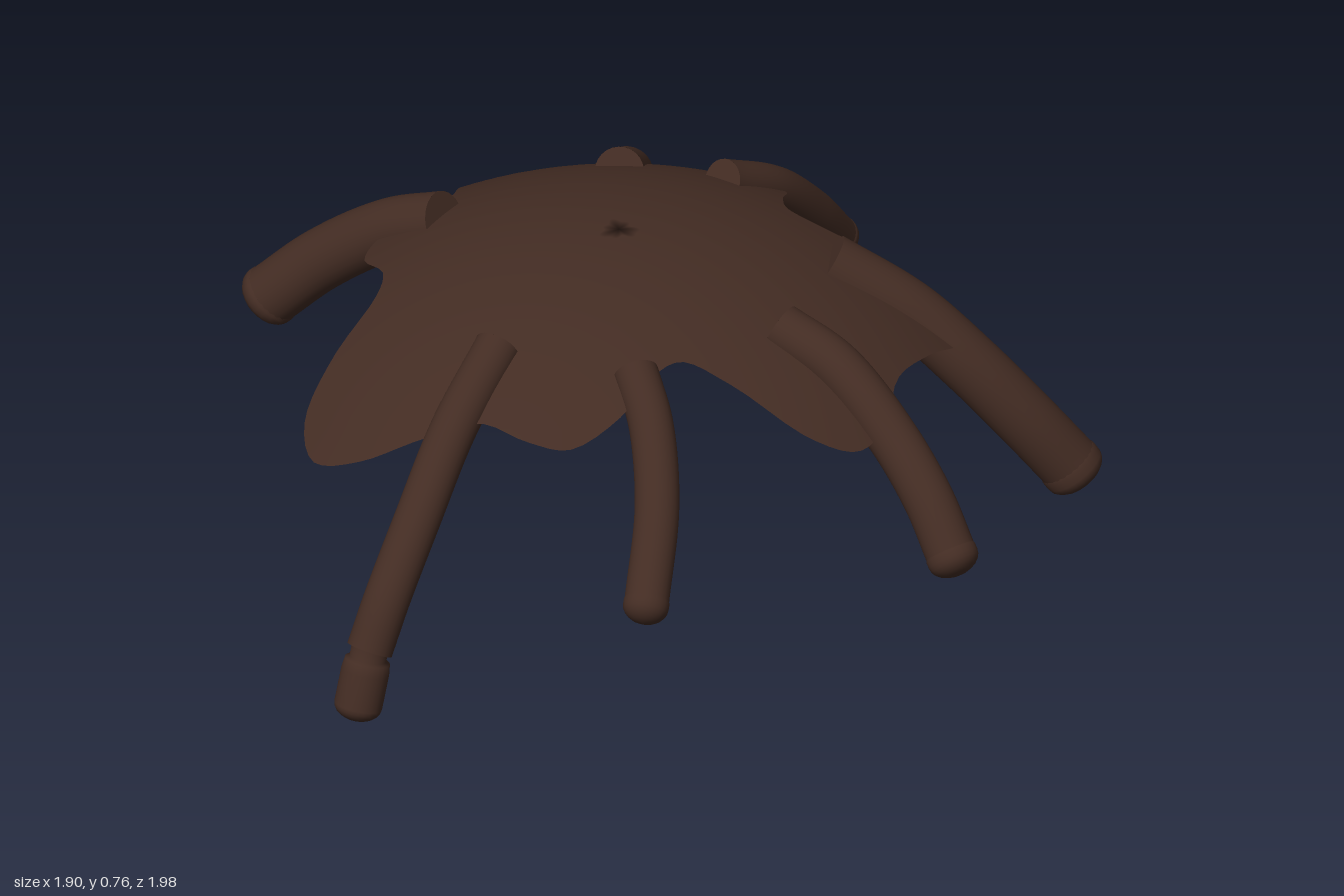
import * as THREE from 'three';

const material = new THREE.MeshStandardMaterial({ color: 0x432c23, side: THREE.DoubleSide });
const V = (p) => new THREE.Vector3(...p);

// Dome centre, apex height and sphere radius
const CX = -0.06, CZ = -0.08, TOP = 0.765, R = 1.18;
const domeY = (x, z) => TOP - R + Math.sqrt(R * R - (x - CX) ** 2 - (z - CZ) ** 2);

// Splat outline seen from above, as x, z pairs
const outline = [
  [-0.20, 0.73], [-0.30, 0.66], [-0.35, 0.53], [-0.385, 0.36], [-0.44, 0.28], [-0.55, 0.23],
  [-0.60, 0.14], [-0.60, 0.02], [-0.59, -0.07], [-0.67, -0.18], [-0.78, -0.32], [-0.81, -0.43],
  [-0.74, -0.52], [-0.60, -0.55], [-0.43, -0.57], [-0.33, -0.65], [-0.22, -0.70], [-0.12, -0.66],
  [-0.05, -0.58], [0.02, -0.53], [0.11, -0.55], [0.25, -0.635], [0.38, -0.665], [0.48, -0.62],
  [0.53, -0.47], [0.58, -0.32], [0.67, -0.19], [0.69, -0.08], [0.62, 0.01], [0.45, 0.08],
  [0.35, 0.13], [0.34, 0.22], [0.36, 0.32], [0.33, 0.45], [0.24, 0.50], [0.12, 0.53],
  [0.02, 0.62], [-0.08, 0.70],
];

// Thin domed splat: shrunken copies of the outline laid on the sphere
function createSplat() {
  const around = 160, rings = 16;
  const edge = new THREE.CatmullRomCurve3(outline.map(([x, z]) => V([x, 0, z])), true).getPoints(around);
  const positions = [], index = [];
  for (let i = 0; i <= rings; i++) {
    for (let j = 0; j < around; j++) {
      const x = CX + (edge[j].x - CX) * i / rings;
      const z = CZ + (edge[j].z - CZ) * i / rings;
      positions.push(x, domeY(x, z), z);
      if (i === rings) continue;
      const k = (j + 1) % around;
      const a = i * around + j, b = i * around + k, c = a + around, d = b + around;
      if (i > 0) index.push(a, b, d);
      index.push(a, d, c);
    }
  }
  // Outline runs clockwise from above, so reverse each triangle to face up
  for (let i = 0; i < index.length; i += 3) [index[i + 1], index[i + 2]] = [index[i + 2], index[i + 1]];
  const geometry = new THREE.BufferGeometry();
  geometry.setAttribute('position', new THREE.Float32BufferAttribute(positions, 3));
  geometry.setIndex(index);
  geometry.computeVertexNormals();
  // Pole normals
  for (let j = 0; j < around; j++) geometry.attributes.normal.setXYZ(j, 0, 1, 0);
  const mesh = new THREE.Mesh(geometry, material);
  mesh.name = 'splatCap';
  return mesh;
}

// Rounded drip end; a long one has a narrow neck above it
function createTip(from, to, radius, necked) {
  const dir = to.clone().sub(from), length = dir.length();
  const profile = necked
    ? [[0.8, -0.02], [0.8, 0.02], [0.98, 0.025], [1.04, 0.05], [1.04, length - 0.035]]
    : [[0.97, -0.01], [1.03, 0], [1.03, Math.max(0.005, length - 0.04)]];
  const points = profile.map(([r, y]) => new THREE.Vector2(r * radius, y));
  const base = points[points.length - 1];
  for (let i = 1; i <= 6; i++) {
    const a = i / 6 * Math.PI / 2;
    points.push(new THREE.Vector2(base.x * Math.cos(a), base.y + (length - base.y) * Math.sin(a)));
  }
  const mesh = new THREE.Mesh(new THREE.LatheGeometry(points, 24), material);
  mesh.position.copy(from);
  mesh.quaternion.setFromUnitVectors(new THREE.Vector3(0, 1, 0), dir.normalize());
  mesh.name = 'dripTip';
  return mesh;
}

// Curved drip: a tube with a flat upper end and a rounded tip
function createDrip({ name, path, tip, radius, necked }) {
  const group = new THREE.Group();
  group.name = name;
  const curve = new THREE.CatmullRomCurve3(path.map(V));
  const tube = new THREE.Mesh(new THREE.TubeGeometry(curve, 32, radius, 24), material);
  tube.name = 'dripTube';
  group.add(tube);
  [[0, -1], [1, 1]].forEach(([t, sign]) => {
    const disc = new THREE.Mesh(new THREE.CircleGeometry(radius, 24), material);
    disc.position.copy(curve.getPoint(t));
    disc.quaternion.setFromUnitVectors(new THREE.Vector3(0, 0, 1), curve.getTangent(t).multiplyScalar(sign));
    disc.name = 'dripEnd';
    group.add(disc);
  });
  group.add(createTip(curve.getPoint(1), V(tip), radius, necked));
  return group;
}

const drips = [
  { name: 'frontDrip', radius: 0.052, necked: true, tip: [0.155, 0.005, 0.95],
    path: [[0.015, 0.67, 0.37], [0.07, 0.56, 0.56], [0.125, 0.41, 0.73], [0.153, 0.27, 0.85], [0.155, 0.165, 0.905]] },
  { name: 'frontLeftDrip', radius: 0.05, tip: [0.65, 0.285, 0.54],
    path: [[0.30, 0.66, 0.22], [0.41, 0.59, 0.28], [0.53, 0.47, 0.38], [0.63, 0.32, 0.51]] },
  { name: 'leftDrip', radius: 0.057, tip: [0.925, 0.24, -0.175],
    path: [[0.39, 0.67, -0.14], [0.53, 0.61, -0.18], [0.69, 0.49, -0.195], [0.81, 0.38, -0.19], [0.89, 0.28, -0.18]] },
  { name: 'backLeftDrip', radius: 0.07, tip: [0.67, 0.13, -0.81],
    path: [[0.24, 0.66, -0.435], [0.38, 0.55, -0.55], [0.49, 0.43, -0.63], [0.58, 0.30, -0.71], [0.645, 0.18, -0.785]] },
  { name: 'backDrip', radius: 0.05, tip: [-0.25, 0.31, -0.965],
    path: [[-0.18, 0.67, -0.52], [-0.185, 0.59, -0.68], [-0.21, 0.47, -0.82], [-0.245, 0.345, -0.935]] },
  { name: 'backRightDrip', radius: 0.055, necked: true, tip: [-0.835, 0.015, -0.81],
    path: [[-0.385, 0.66, -0.40], [-0.50, 0.56, -0.54], [-0.62, 0.44, -0.655], [-0.72, 0.30, -0.725], [-0.79, 0.15, -0.77]] },
  { name: 'rightDrip', radius: 0.07, tip: [-0.91, 0.35, 0.21],
    path: [[-0.49, 0.66, 0.04], [-0.63, 0.60, 0.075], [-0.78, 0.49, 0.135], [-0.88, 0.385, 0.195]] },
];

export function createModel() {
  const model = new THREE.Group();
  model.name = 'drippingSplat';
  model.add(createSplat(), ...drips.map(createDrip));
  return model;
}
